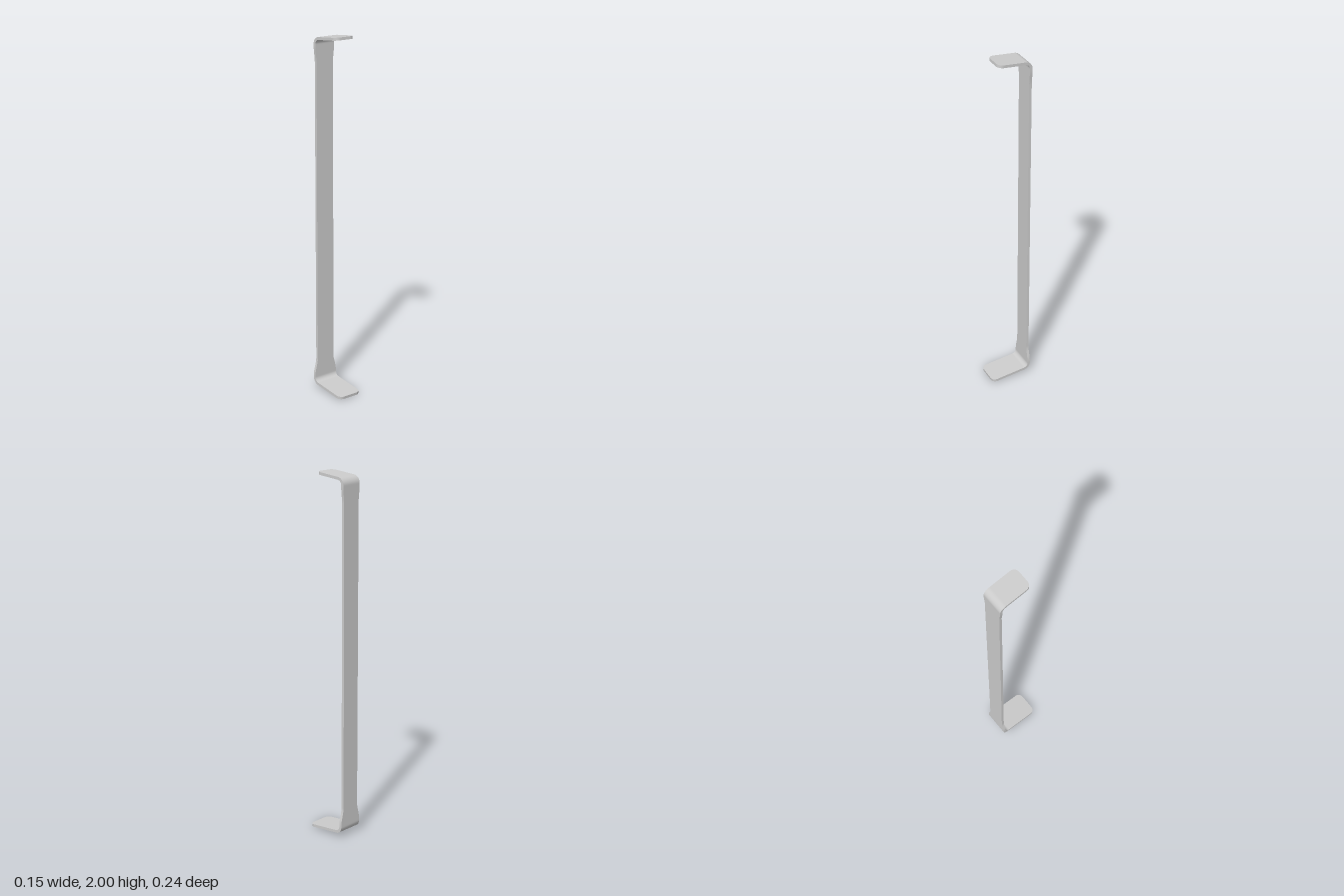
import * as THREE from 'three';

const HALF_T = 0.0075;    // half the strip thickness
const BACK_Z = -0.1125;   // centre plane of the upright
const BAR_W = 0.055;      // half width of the upright

// Stations of one end, from the upright to the tab tip, seen as an upper end (dir 1) or lower end (dir -1).
// Each station: centre line z, y, outward normal nz, ny, and half width w.
function endStations({ dir, cornerY, tipZ, slope, bend, width, corner, flareFrom, flareTo }) {
  const out = [];
  const add = (z, y, angle, w) =>
    out.push({ z, y, nz: -Math.sin(angle), ny: dir * Math.cos(angle), w });

  // flare from the bar width to the tab width
  for (let i = 0; i <= 8; i++) {
    const t = i / 8;
    add(BACK_Z, flareFrom + (flareTo - flareFrom) * t, Math.PI / 2,
      BAR_W + (width - BAR_W) * t * t * (3 - 2 * t));
  }
  // bend
  const turn = Math.PI / 2 - slope;
  const cz = BACK_Z + bend, cy = cornerY - dir * bend * Math.tan(turn / 2);
  for (let i = 0; i <= 10; i++) {
    const a = Math.PI / 2 - turn * i / 10;
    add(cz - bend * Math.sin(a), cy + dir * bend * Math.cos(a), a, width);
  }
  // sloping tab with rounded corners
  const length = (tipZ - BACK_Z) / Math.cos(slope);
  for (let i = 0; i <= 8; i++) {
    const a = (i / 8) * Math.PI / 2;
    const s = length - corner + corner * Math.sin(a);
    add(BACK_Z + s * Math.cos(slope), cornerY + dir * s * Math.sin(slope), slope,
      width - corner + corner * Math.cos(a));
  }
  return out;
}

// Sweep a sharp-edged rectangle through the stations
function stripGeometry(stations) {
  const pos = [], index = [];
  const rings = stations.map(({ z, y, nz, ny, w }) =>
    [[1, 1], [-1, 1], [-1, -1], [1, -1]].map(([sx, sn]) =>
      [sx * w, y + sn * ny * HALF_T, z + sn * nz * HALF_T]));

  for (let k = 0; k < 4; k++) {
    const base = pos.length / 3;
    rings.forEach((r, i) => {
      pos.push(...r[k], ...r[(k + 1) % 4]);
      if (i === 0) return;
      const a0 = base + 2 * (i - 1);
      index.push(a0, a0 + 1, a0 + 3, a0, a0 + 3, a0 + 2);
    });
  }
  // tip faces
  for (const ring of [[...rings[0]].reverse(), rings[rings.length - 1]]) {
    const b = pos.length / 3;
    ring.forEach((p) => pos.push(...p));
    index.push(b, b + 1, b + 2, b, b + 2, b + 3);
  }
  const g = new THREE.BufferGeometry();
  g.setAttribute('position', new THREE.Float32BufferAttribute(pos, 3));
  g.setIndex(index);
  g.computeVertexNormals();
  return g;
}

export function createModel() {
  const group = new THREE.Group();
  group.name = 'bentStripBracket';

  const lower = endStations({
    dir: -1, cornerY: 0.03, tipZ: 0.1193, slope: 0.097, bend: 0.034,
    width: 0.073, corner: 0.03, flareFrom: 0.17, flareTo: 0.07,
  });
  const upper = endStations({
    dir: 1, cornerY: 1.975, tipZ: 0.07, slope: 0.096, bend: 0.034,
    width: 0.062, corner: 0.03, flareFrom: 1.85, flareTo: 1.935,
  });

  const strip = new THREE.Mesh(
    stripGeometry([...lower.reverse(), ...upper]),
    new THREE.MeshStandardMaterial({ color: 0xcccccc }),
  );
  strip.name = 'bentStrip';
  group.add(strip);
  return group;
}
